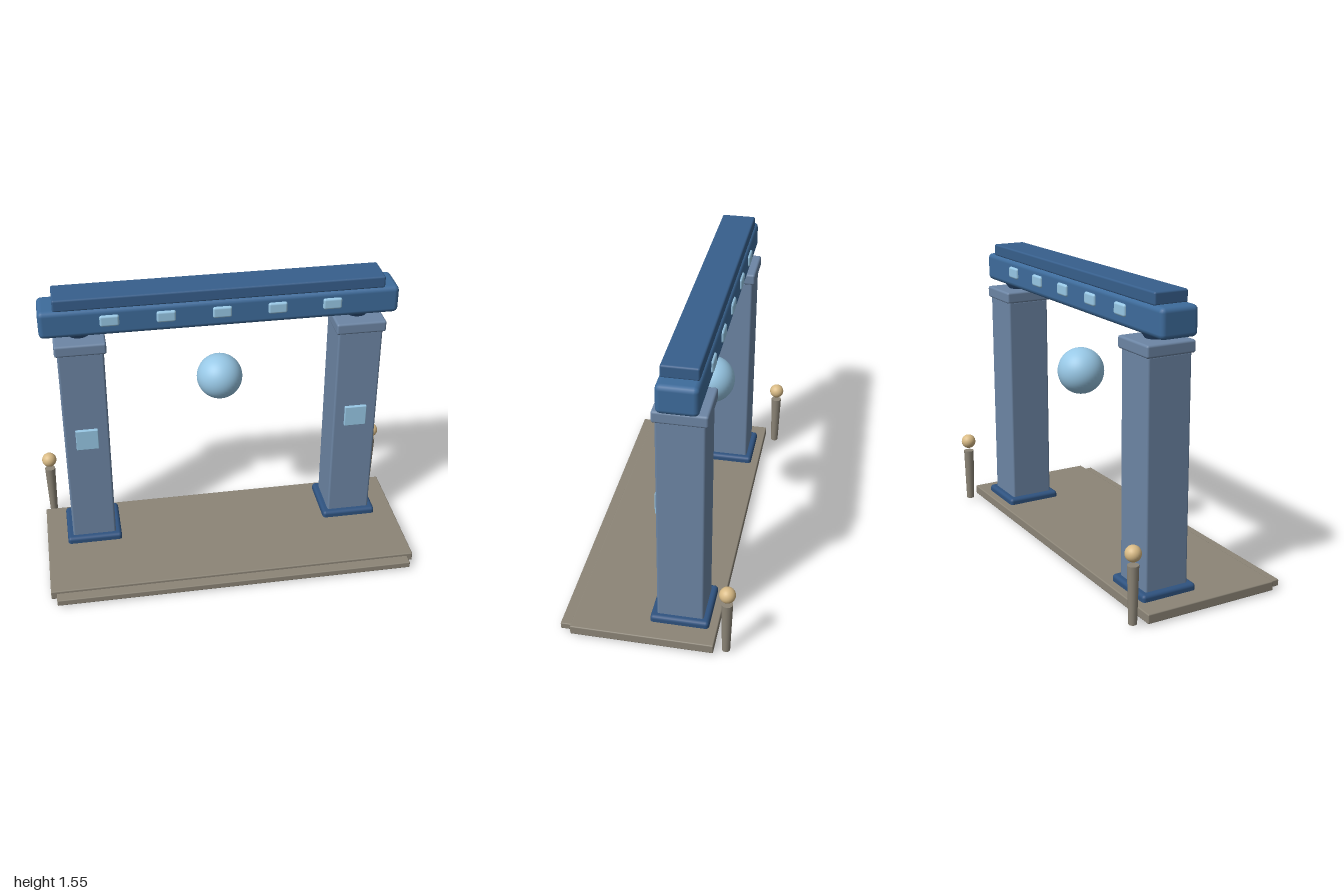
import * as THREE from 'three';
import { RoundedBoxGeometry } from 'three/addons/geometries/RoundedBoxGeometry.js';

const mat = (color) => new THREE.MeshStandardMaterial({ color });
const MATS = {
  stone: mat(0x8c8577), slate: mat(0x6d86a5), base: mat(0x2f5380), beam: mat(0x3e6c9c),
  ridge: mat(0x375f8c), glow: mat(0x98c8e6), brass: mat(0xd9bb86), inlay: mat(0x938b70),
};
const Z = -0.152; // shared centre line of pillars, beam and orb

export function createModel() {
  const model = new THREE.Group();
  model.name = 'gate';

  function add(name, geometry, material, x, y, z, parent = model) {
    const mesh = new THREE.Mesh(geometry, material);
    mesh.name = name;
    mesh.position.set(x, y, z);
    parent.add(mesh);
    return mesh;
  }

  // Box with softened edges, placed by its vertical extent
  function block(name, w, y0, y1, d, bevel, material, x, z, parent) {
    return add(name, new RoundedBoxGeometry(w, y1 - y0, d, 2, bevel), material, x, (y0 + y1) / 2, z, parent);
  }

  // Platform with a lower front step and a plate set into its underside
  block('platform', 2, 0.01, 0.06, 0.735, 0.006, MATS.stone, 0, 0.021);
  block('frontStep', 1.94, 0.01, 0.045, 0.08, 0.005, MATS.stone, 0, 0.406);
  const plate = add('undersidePlate', new THREE.CylinderGeometry(1, 1, 0.01, 6), MATS.inlay, 0, 0.011, 0.06);
  plate.scale.set(0.47, 1, 0.14);

  for (const side of [-1, 1]) {
    // Pillar with foot, capital, neck and front panel
    const pillar = new THREE.Group();
    pillar.name = side > 0 ? 'leftPillar' : 'rightPillar';
    pillar.position.set(side * 0.735, 0, Z);
    model.add(pillar);
    block('foot', 0.303, 0.004, 0.095, 0.303, 0.018, MATS.base, 0, 0, pillar);
    block('shaft', 0.24, 0, 1.26, 0.24, 0.012, MATS.slate, 0, 0, pillar);
    block('capital', 0.267, 1.253, 1.316, 0.267, 0.012, MATS.slate, 0, 0, pillar);
    add('neck', new THREE.CylinderGeometry(0.085, 0.05, 0.05, 20), MATS.base, 0, 1.332, 0, pillar);
    block('panel', 0.12, 0.68, 0.8, 0.03, 0.004, MATS.glow, 0, 0.122, pillar);

    // Lamp post behind the platform with a floating ball
    const post = new THREE.Group();
    post.name = side > 0 ? 'leftLampPost' : 'rightLampPost';
    post.position.set(side * 0.955, 0, -0.405);
    model.add(post);
    add('stake', new THREE.CylinderGeometry(0.029, 0.021, 0.3, 12), MATS.stone, 0, 0.16, 0, post);
    add('lampBall', new THREE.SphereGeometry(0.041, 24, 16), MATS.brass, 0, 0.368, 0, post);
  }

  // Lintel with a narrower ridge on top
  block('beam', 1.87, 1.345, 1.495, 0.203, 0.026, MATS.beam, 0, Z);
  block('ridge', 1.715, 1.49, 1.555, 0.182, 0.01, MATS.ridge, 0, Z);

  // Light studs passing through the beam to both faces
  for (let i = -2; i <= 2; i++) {
    block('beamStud', 0.1, 1.399, 1.461, 0.228, 0.012, MATS.glow, i * 0.2885, Z);
  }

  // Floating orb between the pillars
  add('orb', new THREE.SphereGeometry(0.123, 40, 28), MATS.glow, 0, 0.99, Z);

  return model;
}
